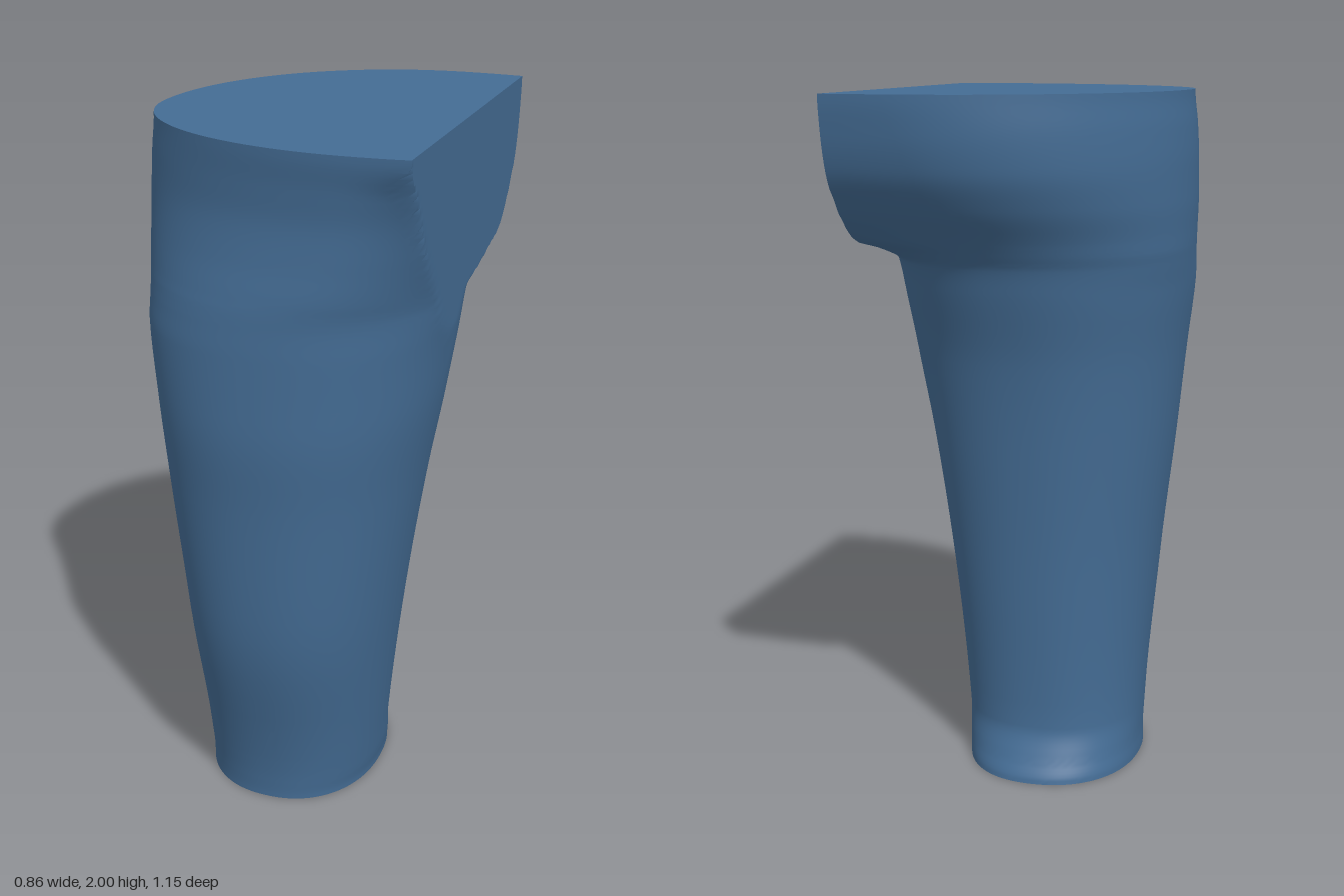
import * as THREE from 'three';
import { toCreasedNormals } from 'three/addons/utils/BufferGeometryUtils.js';

const CUT_X = 0.425; // flat inner cut plane
const SIDES = 112;
const STEPS = 6;

// y, outer x, inner x (front half), inner x (back half), front z, back z, centre x, centre z
const SECTIONS = [
  [0.00, -0.295, 0.220, 0.220, 0.385, -0.245, -0.03, 0.07],
  [0.06, -0.292, 0.228, 0.228, 0.390, -0.215, -0.03, 0.08],
  [0.15, -0.293, 0.237, 0.237, 0.405, -0.180, -0.03, 0.10],
  [0.60, -0.322, 0.292, 0.292, 0.515, -0.200, -0.02, 0.14],
  [1.00, -0.365, 0.352, 0.352, 0.550, -0.235, -0.01, 0.15],
  [1.25, -0.390, 0.397, 0.397, 0.572, -0.270, 0.00, 0.15],
  [1.45, -0.415, 0.425, 0.425, 0.570, -0.325, 0.03, 0.14],
  [1.53, -0.421, 0.445, 0.432, 0.567, -0.350, 0.05, 0.11],
  [1.57, -0.424, 0.454, 0.530, 0.566, -0.375, 0.07, 0.10],
  [1.61, -0.426, 0.465, 0.930, 0.564, -0.405, 0.10, 0.10],
  [1.70, -0.430, 0.507, 1.500, 0.555, -0.480, 0.15, 0.10],
  [1.80, -0.430, 0.575, 1.800, 0.550, -0.540, 0.19, 0.10],
  [1.90, -0.425, 0.700, 1.500, 0.560, -0.566, 0.22, 0.10],
  [2.00, -0.415, 1.100, 1.300, 0.575, -0.577, 0.25, 0.10],
];

// Smooth interpolation that never overshoots, so the fold stays crisp
function slope(i, k) {
  if (i === 0 || i === SECTIONS.length - 1) return 0;
  const [a, b, c] = [SECTIONS[i - 1], SECTIONS[i], SECTIONS[i + 1]];
  const d0 = (b[k] - a[k]) / (b[0] - a[0]);
  const d1 = (c[k] - b[k]) / (c[0] - b[0]);
  return d0 * d1 <= 0 ? 0 : (2 * d0 * d1) / (d0 + d1);
}

function sectionAt(i, t) {
  const a = SECTIONS[i], b = SECTIONS[i + 1];
  const h = b[0] - a[0], t2 = t * t, t3 = t2 * t;
  return a.map((v, k) => k === 0 ? v + h * t
    : v * (2 * t3 - 3 * t2 + 1) + b[k] * (3 * t2 - 2 * t3)
      + h * (slope(i, k) * (t3 - 2 * t2 + t) + slope(i + 1, k) * (t3 - t2)));
}

// One outline: four rounded quadrants, trimmed by the cut plane
function ring([y, outer, innerF, innerB, front, back, cx, cz]) {
  const n = 2.2 - 0.2 * THREE.MathUtils.smoothstep(y, 1.4, 1.9);
  const points = [];
  for (let j = 0; j < SIDES; j++) {
    const a = (j / SIDES) * Math.PI * 2;
    const c = Math.cos(a), s = Math.sin(a);
    const rx = c < 0 ? cx - outer : (s >= 0 ? innerF : innerB) - cx;
    const rz = s >= 0 ? front - cz : cz - back;
    const x = cx + Math.sign(c) * rx * Math.abs(c) ** (2 / n);
    const z = cz + Math.sign(s) * rz * Math.abs(s) ** (2 / n);
    points.push([Math.min(x, CUT_X), y, z]);
  }
  return points;
}

function legGeometry() {
  const rings = [];
  for (let i = 0; i < SECTIONS.length - 1; i++) {
    for (let s = 0; s < STEPS; s++) rings.push(ring(sectionAt(i, s / STEPS)));
  }
  rings.push(ring(SECTIONS[SECTIONS.length - 1]));

  const positions = rings.flat(2);
  const index = [];
  const top = (rings.length - 1) * SIDES;
  const bottomCentre = rings.length * SIDES;
  positions.push(-0.03, 0, 0.07, 0.1, 2, 0.05);
  for (let j = 0; j < SIDES; j++) {
    const k = (j + 1) % SIDES;
    for (let r = 0; r < top; r += SIDES) {
      index.push(r + j, r + SIDES + j, r + k, r + k, r + SIDES + j, r + SIDES + k);
    }
    // end caps
    index.push(bottomCentre, j, k);
    index.push(bottomCentre + 1, top + k, top + j);
  }
  const geometry = new THREE.BufferGeometry();
  geometry.setAttribute('position', new THREE.Float32BufferAttribute(positions, 3));
  geometry.setIndex(index);
  return toCreasedNormals(geometry, 0.65);
}

export function createModel() {
  const group = new THREE.Group();
  group.name = 'upperLeg';
  const leg = new THREE.Mesh(legGeometry(), new THREE.MeshStandardMaterial({ color: 0x446c94 }));
  leg.name = 'thighAndHip';
  group.add(leg);
  return group;
}
